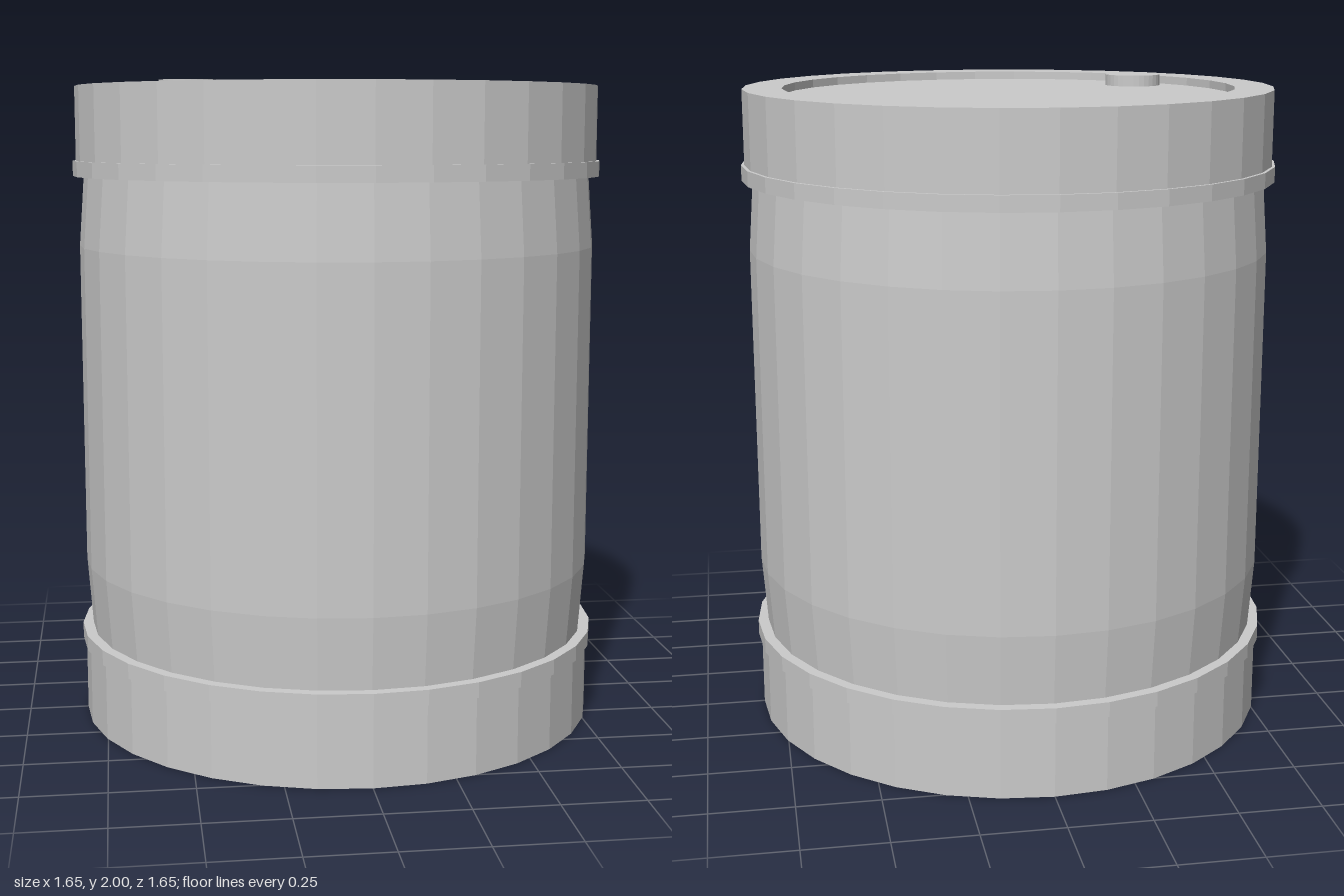
import * as THREE from 'three';

const SIDES = 32;
const material = new THREE.MeshStandardMaterial({ color: 0xcccccc, flatShading: true });

// Faceted turned part from [radius, height] pairs, listed bottom to top on the outside
function turned(name, profile) {
  const points = profile.map(([r, y]) => new THREE.Vector2(r, y));
  const mesh = new THREE.Mesh(new THREE.LatheGeometry(points, SIDES), material);
  mesh.name = name;
  return mesh;
}

export function createModel() {
  const drum = new THREE.Group();
  drum.name = 'drum';

  // Shell: flat base, slightly bulged wall, end collars, rim with a recessed lid
  drum.add(turned('shell', [
    [0, 0], [0.815, 0], [0.815, 0.26], [0.79, 0.26],
    [0.808, 0.5], [0.808, 1.5],
    [0.79, 1.74], [0.815, 1.74], [0.815, 1.99], [0.695, 1.99], [0.695, 1.965],
  ]));
  drum.add(turned('lid', [[0.695, 1.965], [0, 1.965]]));

  // Raised hoops around the wall
  for (const [name, y] of [['lowerHoop', 0.237], ['upperHoop', 1.715]]) {
    const top = y + 0.047;
    drum.add(turned(name, [[0.78, y], [0.825, y], [0.825, top], [0.78, top]]));
  }

  // Filler cap near the edge of the lid
  const cap = turned('fillerCap', [[0.09, 1.965], [0.09, 2], [0, 2]]);
  cap.position.set(-0.475, 0, 0.335);
  drum.add(cap);

  return drum;
}
